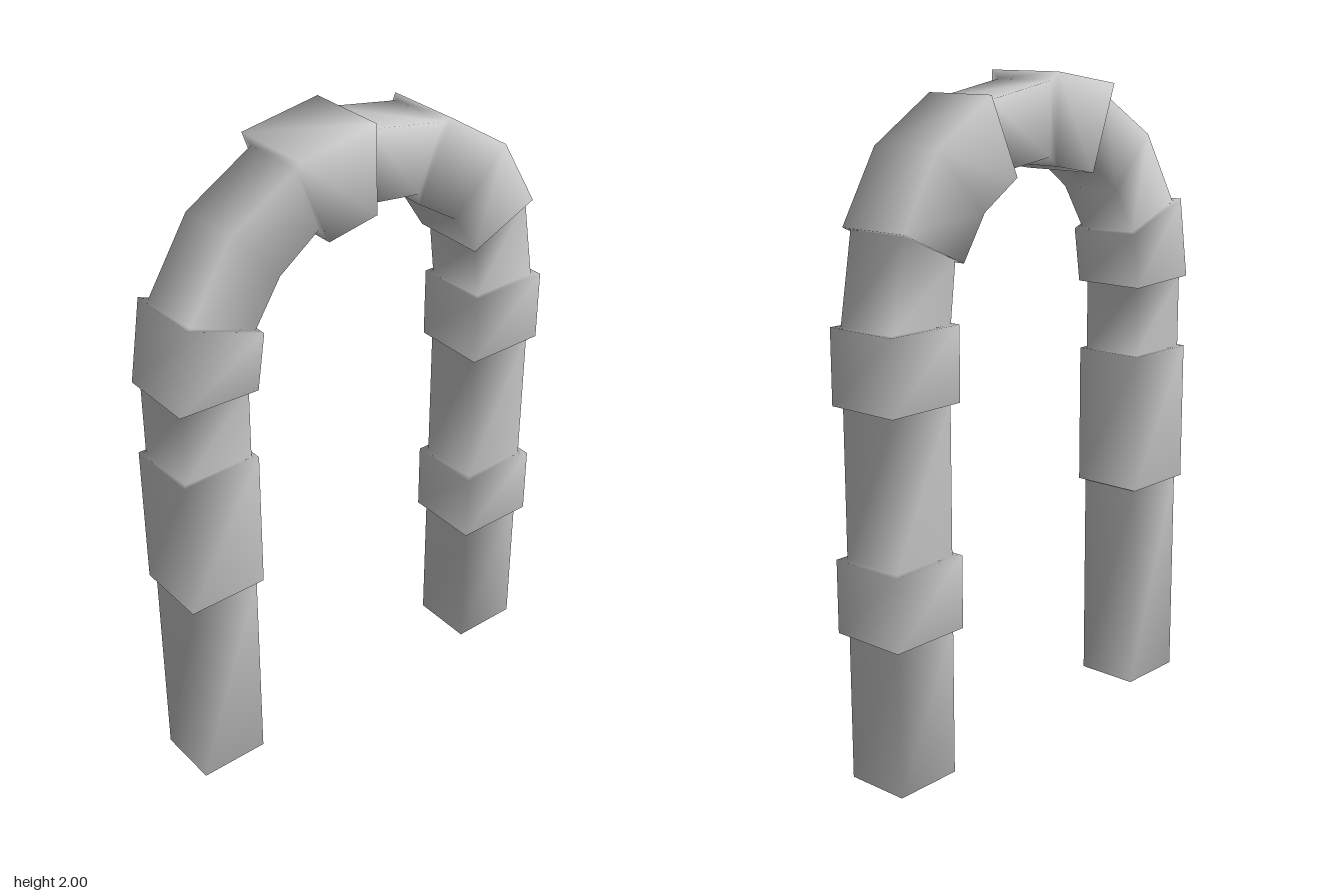
import * as THREE from 'three';

// Each stone: half width in x, then stations [outer z, outer y, inner z, inner y]
// running from the front foot, over the crown, to the back foot.
const STONES = [
  ['frontFoot', 0.10, [[0.645, 0, 0.425, 0], [0.645, 0.67, 0.425, 0.67]]],
  ['frontBlock', 0.115, [[0.66, 0.67, 0.41, 0.67], [0.66, 1.11, 0.41, 1.11]]],
  ['frontNeck', 0.10, [[0.645, 1.11, 0.425, 1.11], [0.645, 1.335, 0.425, 1.335]]],
  ['frontSpringer', 0.118, [[0.66, 1.34, 0.405, 1.33], [0.62, 1.59, 0.38, 1.5]]],
  ['frontHaunch', 0.10, [[0.6, 1.583, 0.395, 1.506], [0.465, 1.8, 0.31, 1.64], [0.25, 1.928, 0.18, 1.735]]],
  ['keystone', 0.127, [[0.26, 1.96, 0.165, 1.705], [0.005, 2, 0, 1.735]]],
  ['crownBlock', 0.10, [[0.003, 1.975, 0, 1.76], [-0.253, 1.93, -0.171, 1.737]]],
  ['backHaunch', 0.118, [[-0.265, 1.945, -0.16, 1.715], [-0.48, 1.81, -0.295, 1.63], [-0.605, 1.6, -0.38, 1.5]]],
  ['backSpringer', 0.10, [[-0.592, 1.594, -0.395, 1.507], [-0.637, 1.335, -0.415, 1.335]]],
  ['backUpperBlock', 0.118, [[-0.66, 1.335, -0.4, 1.335], [-0.66, 1.115, -0.4, 1.115]]],
  ['backNeck', 0.10, [[-0.637, 1.115, -0.42, 1.115], [-0.637, 0.67, -0.42, 0.67]]],
  ['backLowerBlock', 0.12, [[-0.66, 0.67, -0.4, 0.67], [-0.66, 0.45, -0.4, 0.45]]],
  ['backFoot', 0.10, [[-0.637, 0.45, -0.42, 0.45], [-0.637, 0, -0.42, 0]]],
];

export function createModel() {
  const group = new THREE.Group();
  group.name = 'archway';
  const material = new THREE.MeshStandardMaterial({ color: 0xcccccc });

  // One stepped sweep: four corners per station, sides and steps joined to the ring before
  const positions = [];
  const parts = [];
  for (const [name, w, stations] of STONES) {
    const index = [];
    for (const [oz, oy, iz, iy] of stations) {
      const b = positions.length / 3;
      positions.push(-w, oy, oz, w, oy, oz, w, iy, iz, -w, iy, iz);
      if (b === 0) index.push(0, 2, 1, 0, 3, 2); // front sole
      else for (let j = 0; j < 4; j++) {
        const k = (j + 1) % 4;
        const a = b - 4;
        index.push(a + j, a + k, b + k, a + j, b + k, b + j);
      }
    }
    parts.push({ name, index });
  }
  const e = positions.length / 3 - 4;
  parts[parts.length - 1].index.push(e, e + 1, e + 2, e, e + 2, e + 3); // back sole

  // Smooth normals shared along the whole arch
  const whole = new THREE.BufferGeometry();
  whole.setAttribute('position', new THREE.Float32BufferAttribute(positions, 3));
  whole.setIndex(parts.flatMap((p) => p.index));
  whole.computeVertexNormals();

  // Separate named stones that keep those normals
  for (const { name, index } of parts) {
    const shared = new THREE.BufferGeometry();
    shared.setAttribute('position', whole.attributes.position);
    shared.setAttribute('normal', whole.attributes.normal);
    shared.setIndex(index);
    const mesh = new THREE.Mesh(shared.toNonIndexed(), material);
    mesh.name = name;
    group.add(mesh);
  }
  return group;
}
